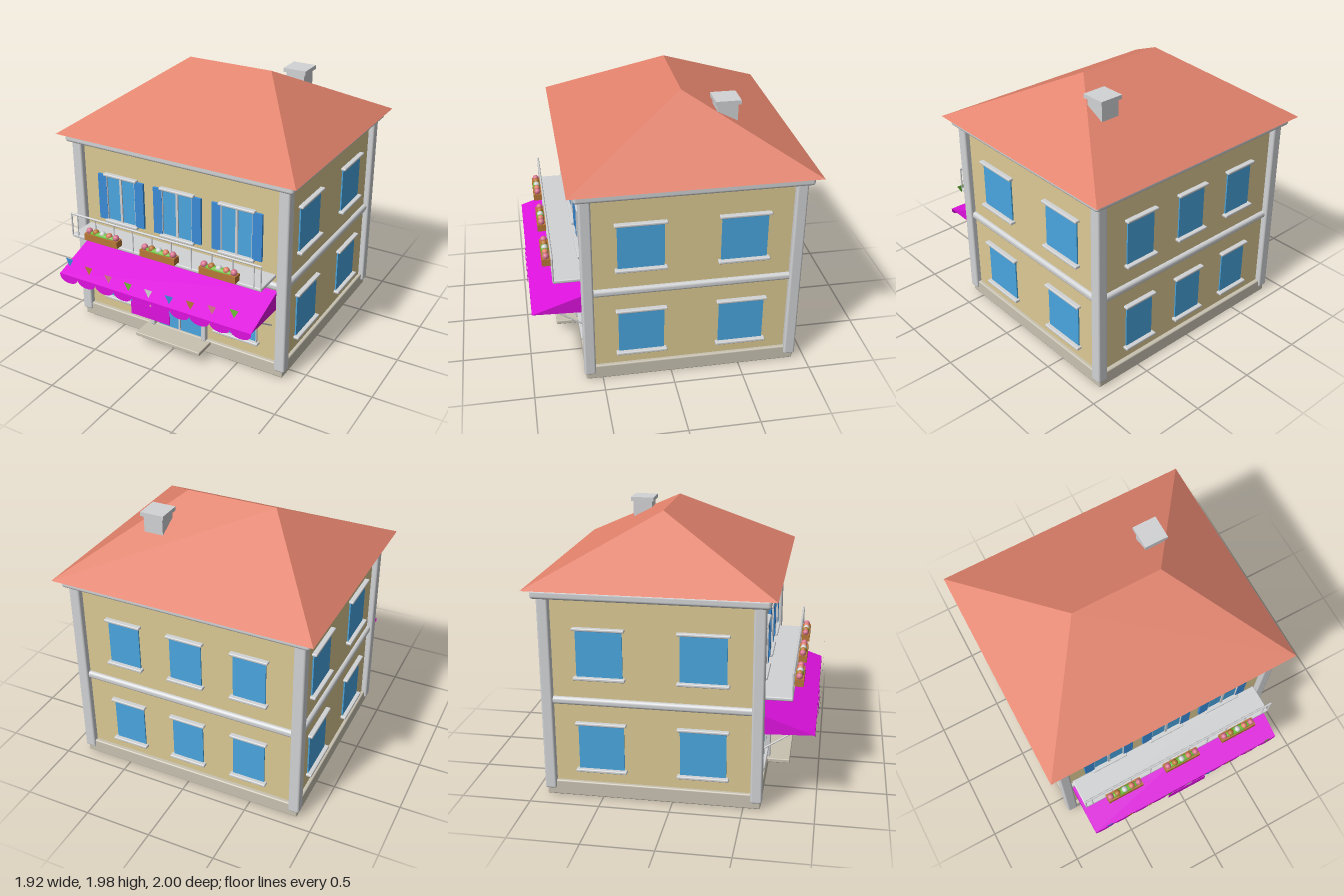
import * as THREE from 'three';
import { RoundedBoxGeometry } from 'three/addons/geometries/RoundedBoxGeometry.js';
import { ConvexGeometry } from 'three/addons/geometries/ConvexGeometry.js';

const mat = (name, color, side = THREE.FrontSide) => {
  const m = new THREE.MeshStandardMaterial({ color, side });
  m.name = name;
  return m;
};

export function createModel() {
  const wall = mat('sand plaster', 0xdcca94);
  const stone = mat('base stone', 0xc8c2b2);
  const trim = mat('pale trim', 0xd2d3d5);
  const tile = mat('terracotta', 0xe0816b);
  const cloth = mat('magenta cloth', 0xde12de, THREE.DoubleSide);
  const glass = mat('window blue', 0x4aa6e0);
  const paint = mat('shutter blue', 0x3a8cd8, THREE.DoubleSide);
  const wood = mat('brown wood', 0xb97838, THREE.DoubleSide);
  const leaf = mat('leaf green', 0x6cc034, THREE.DoubleSide);
  const pink = mat('petal pink', 0xd8748f, THREE.DoubleSide);

  const house = new THREE.Group();
  house.name = 'house';
  const ZC = -0.145; // centre of the building in z

  const add = (name, geo, material, x, y, z, parent = house) => {
    const m = new THREE.Mesh(geo, material);
    m.name = name;
    m.position.set(x, y, z);
    parent.add(m);
    return m;
  };
  const box = (name, w, h, d, material, x, y, z, parent) =>
    add(name, new THREE.BoxGeometry(w, h, d), material, x, y, z, parent);
  const soft = (name, w, h, d, r, material, x, y, z, parent) =>
    add(name, new RoundedBoxGeometry(w, h, d, 3, r), material, x, y, z, parent);
  const rod = (name, a, b, r, material, parent) =>
    add(name, new THREE.TubeGeometry(new THREE.LineCurve3(new THREE.Vector3(...a), new THREE.Vector3(...b)), 1, r, 8),
      material, 0, 0, 0, parent);

  // Main body
  box('walls', 1.68, 1.4, 1.47, wall, 0, 0.78, ZC);
  soft('base', 1.73, 0.11, 1.53, 0.01, stone, 0, 0.055, ZC);
  soft('beltCourse', 1.735, 0.055, 1.525, 0.022, trim, 0, 0.725, ZC);
  soft('cornice', 1.84, 0.066, 1.62, 0.022, trim, 0, 1.502, ZC);
  for (const sx of [-1, 1]) for (const sz of [-1, 1])
    soft('cornerPillar', 0.082, 1.43, 0.082, 0.015, trim, sx * 0.842, 0.765, ZC + sz * 0.736);

  // Hipped roof
  const roofPoints = [];
  for (const sx of [-1, 1]) {
    for (const sz of [-1, 1]) roofPoints.push(new THREE.Vector3(sx * 0.96, 1.536, ZC + sz * 0.855));
    roofPoints.push(new THREE.Vector3(sx * 0.337, 1.98, ZC));
  }
  add('roof', new ConvexGeometry(roofPoints), tile, 0, 0, 0);

  // Chimney
  box('chimneyStack', 0.145, 0.3, 0.145, trim, 0.42, 1.77, -0.44);
  box('chimneyCap', 0.178, 0.03, 0.178, trim, 0.42, 1.928, -0.44);

  // Window: glass plate with lintel and sill; local z = 0 is the wall face
  function addWindow(parent, x, y, w, h, mullion) {
    const g = new THREE.Group();
    g.name = 'window';
    g.position.set(x, y, 0);
    parent.add(g);
    box('glass', w, h, 0.01, glass, 0, 0, 0.005, g);
    soft('lintel', w + 0.04, 0.02, 0.04, 0.007, trim, 0, h / 2 + 0.005, 0.015, g);
    soft('sill', w + 0.04, 0.022, 0.045, 0.007, trim, 0, -h / 2 - 0.005, 0.018, g);
    if (mullion) {
      box('mullion', 0.018, h, 0.016, trim, 0, 0, 0.012, g);
      for (const s of [-1, 1]) box('frameSide', 0.008, h, 0.016, trim, s * w / 2, 0, 0.012, g);
    }
    return g;
  }
  const facade = (name, x, z, turn) => {
    const g = new THREE.Group();
    g.name = name;
    g.position.set(x, 0, z);
    g.rotation.y = turn;
    house.add(g);
    return g;
  };
  const front = facade('frontFacade', 0, ZC + 0.735, 0);
  const back = facade('backFacade', 0, ZC - 0.735, Math.PI);
  const leftSide = facade('leftFacade', 0.84, ZC, Math.PI / 2);
  const rightSide = facade('rightFacade', -0.84, ZC, -Math.PI / 2);
  for (const y of [0.383, 1.078]) {
    for (const side of [leftSide, rightSide])
      for (const x of [-0.36, 0.36]) addWindow(side, x, y, 0.325, 0.345);
    for (const x of [-0.48, 0, 0.48]) addWindow(back, x, y, 0.24, 0.345);
  }

  // Front windows with shutters above, wide windows below
  for (const x of [-0.48, 0, 0.48]) {
    const w = addWindow(front, x, 1.07, 0.245, 0.36, true);
    for (const s of [-1, 1]) box('shutter', 0.074, 0.36, 0.018, paint, s * 0.16, 0, 0.012, w);
    if (x) addWindow(front, x, 0.39, 0.33, 0.34, true);
  }

  // Door with posts and step
  box('doorGlass', 0.365, 0.45, 0.01, glass, 0, 0.335, 0.006, front);
  box('doorMullion', 0.016, 0.45, 0.016, trim, 0, 0.335, 0.012, front);
  for (const s of [-1, 1]) soft('doorPost', 0.036, 0.5, 0.045, 0.008, trim, s * 0.222, 0.355, 0.025, front);
  soft('doorLintel', 0.48, 0.03, 0.045, 0.008, trim, 0, 0.59, 0.025, front);
  soft('doorStep', 0.55, 0.03, 0.19, 0.006, stone, 0, 0.092, 0.69);

  // Balcony with railing
  soft('balconySlab', 1.57, 0.026, 0.225, 0.008, trim, 0, 0.806, 0.705);
  rod('handrail', [-0.785, 0.985, 0.814], [0.785, 0.985, 0.814], 0.008, trim);
  for (let i = 0; i < 10; i++) {
    const x = -0.728 + i * 0.1618;
    rod('baluster', [x, 0.81, 0.814], [x, 0.985, 0.814], 0.0045, trim);
  }
  for (const x of [-0.78, 0.78]) rod('railEndPost', [x, 0.81, 0.814], [x, 0.99, 0.814], 0.006, trim);

  // Flower boxes
  const petals = [pink, wood, trim, tile, pink];
  for (const x of [-0.48, 0, 0.48]) {
    const g = new THREE.Group();
    g.name = 'flowerBox';
    g.position.set(x, 0.866, 0.848);
    house.add(g);
    box('planter', 0.285, 0.052, 0.062, wood, 0, 0, 0, g);
    add('foliage', new THREE.SphereGeometry(1, 16, 8), leaf, 0, 0.027, 0, g).scale.set(0.125, 0.022, 0.027);
    petals.forEach((p, i) =>
      add('flower', new THREE.SphereGeometry(0.024, 12, 8), p, (i - 2) * 0.058, 0.04, 0, g));
  }

  // Awning: sloping sheet, side cheeks and scalloped valance
  const W = 0.797, zWall = 0.595, zTip = 0.975, yTop = 0.69, yTip = 0.56;
  const sheet = new THREE.PlaneGeometry(W * 2, Math.hypot(zTip - zWall, yTop - yTip));
  const top = add('awningTop', sheet, cloth, 0, (yTop + yTip) / 2, (zWall + zTip) / 2);
  top.rotation.x = -Math.atan2(zTip - zWall, yTop - yTip);
  const cheek = new THREE.Shape([[zWall, yTop], [zWall, 0.545], [zTip, yTip]].map(p => new THREE.Vector2(-p[0], p[1])));
  for (const s of [-1, 1])
    add('awningCheek', new THREE.ShapeGeometry(cheek), cloth, s * W, 0, 0).rotation.y = Math.PI / 2;
  const valance = new THREE.Shape();
  valance.moveTo(-W, yTip);
  valance.lineTo(-W, 0.545);
  const n = 10, r = W / n;
  for (let i = 0; i < n; i++) valance.absellipse(-W + r * (2 * i + 1), 0.545, r, 0.05, Math.PI, 2 * Math.PI, false);
  valance.lineTo(W, yTip);
  add('awningValance', new THREE.ShapeGeometry(valance, 10), cloth, 0, 0, zTip);
  for (const x of [-0.76, 0.76]) rod('awningStrut', [x, 0.405, 0.6], [x, 0.56, 0.83], 0.006, trim);
  box('hangingBoard', 0.322, 0.102, 0.004, cloth, 0, 0.472, 0.979);

  // Bunting flags hung in a shallow curve
  const flag = new THREE.ShapeGeometry(new THREE.Shape(
    [[-0.034, 0], [0, -0.064], [0.034, 0]].map(p => new THREE.Vector2(...p))));
  const white = trim.clone();
  white.side = THREE.DoubleSide;
  const flagColours = [paint, wood, pink, leaf, white];
  for (let i = 0; i < 9; i++) {
    const t = (i - 4) / 4;
    add('buntingFlag', flag, flagColours[i < 5 ? i : i - 5], t * 0.68, 0.667 + 0.056 * t * t, 0.996);
  }
  return house;
}
